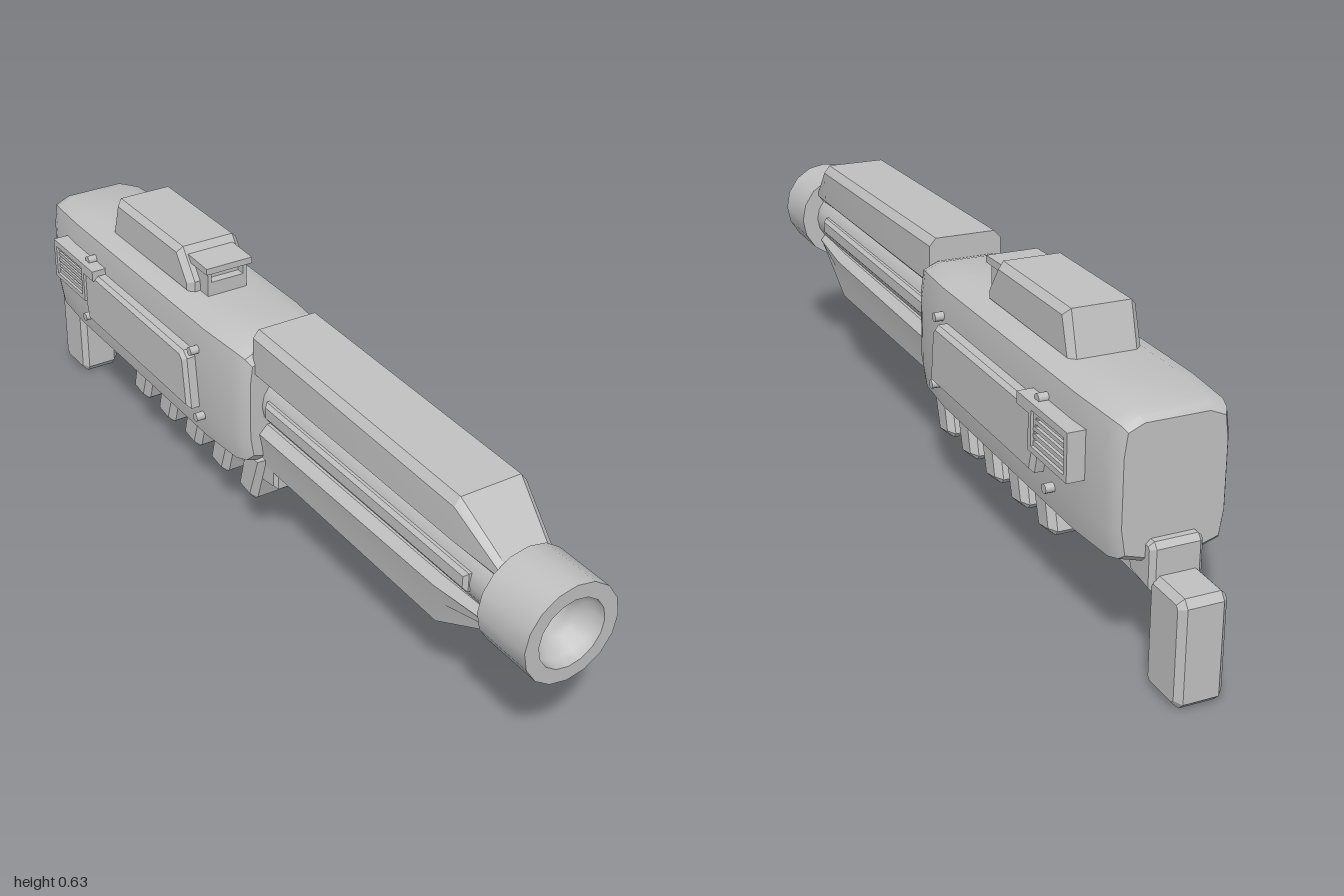
import * as THREE from 'three';
import { toCreasedNormals, mergeVertices } from 'three/addons/utils/BufferGeometryUtils.js';

const metal = new THREE.MeshStandardMaterial({ color: 0xc0c0c0 });
metal.name = 'greyMetal';

function add(parent, name, geometry, x = 0, y = 0, z = 0) {
  const mesh = new THREE.Mesh(geometry, metal);
  mesh.name = name;
  mesh.position.set(x, y, z);
  parent.add(mesh);
  return mesh;
}

// Shape from [z, y] points
const outline = pts => new THREE.Shape(pts.map(p => new THREE.Vector2(p[0], p[1])));

// Side profile given as [z, y], extruded across x about x = 0
function prism(shape, width, bevel = 0) {
  const g = new THREE.ExtrudeGeometry(shape, {
    depth: width - 2 * bevel, bevelEnabled: bevel > 0, bevelThickness: bevel,
    bevelSize: bevel, bevelOffset: -bevel, bevelSegments: 1,
  });
  g.translate(0, 0, -(width - 2 * bevel) / 2);
  g.rotateY(-Math.PI / 2);
  return g;
}

const rect = (z0, z1, y0, y1) => outline([[z0, y0], [z1, y0], [z1, y1], [z0, y1]]);

// Loft of mirrored half sections [x, y] (bottom to top), ordered from front to back
function loft(sections, crease) {
  const pos = [], idx = [];
  const n = sections[0].half.length * 2;
  for (const { z, half } of sections) {
    for (const [x, y] of half) pos.push(x, y, z);
    for (const [x, y] of [...half].reverse()) pos.push(-x, y, z);
  }
  for (let i = 0; i < sections.length - 1; i++) {
    for (let j = 0; j < n; j++) {
      const a = i * n + j, b = i * n + (j + 1) % n;
      idx.push(a, a + n, b, b, a + n, b + n);
    }
  }
  const last = (sections.length - 1) * n;
  for (let j = 1; j < n - 1; j++) {
    idx.push(0, j, j + 1, last, last + j + 1, last + j);
  }
  const g = new THREE.BufferGeometry();
  g.setAttribute('position', new THREE.Float32BufferAttribute(pos, 3));
  g.setIndex(idx);
  return toCreasedNormals(g, crease);
}

export function createModel() {
  const model = new THREE.Group();
  model.name = 'blaster';
  const axisY = 0.394;

  // Main housing with crowned sides and rounded ends
  const bodyHalf = [[0.065, 0.235], [0.118, 0.25], [0.128, 0.31], [0.128, 0.47], [0.12, 0.525], [0.08, 0.541]];
  const stations = [
    [0.058, 0.76, 0.82], [0.045, 0.85, 0.93], [0.015, 0.92, 0.985], [-0.1, 0.99, 1],
    [-0.72, 1, 1], [-0.84, 0.94, 0.98], [-0.865, 0.88, 0.94], [-0.876, 0.82, 0.87],
  ];
  add(model, 'body', loft(stations.map(([z, sx, sy]) => ({
    z, half: bodyHalf.map(([x, y]) => [x * sx, 0.388 + (y - 0.388) * sy]),
  })), 0.6));

  // Barrel core and its raised side bars
  const core = new THREE.CylinderGeometry(0.068, 0.068, 0.86, 16);
  core.rotateX(Math.PI / 2);
  add(model, 'barrelCore', core, 0, axisY, 0.45);
  add(model, 'barrelSideBar', prism(rect(0.08, 0.79, 0.376, 0.418), 0.156, 0.008));

  // Upper and lower barrel shrouds, tapered at the front
  add(model, 'upperShroud', loft([
    { z: 0.87, half: [[0.05, 0.44], [0.062, 0.455], [0.062, 0.464], [0.05, 0.475]] },
    { z: 0.75, half: [[0.06, 0.452], [0.084, 0.475], [0.084, 0.55], [0.07, 0.568]] },
    { z: 0.05, half: [[0.06, 0.455], [0.085, 0.48], [0.085, 0.565], [0.07, 0.582]] },
  ], 0.2));
  add(model, 'lowerShroud', loft([
    { z: 0.86, half: [[0.05, 0.32], [0.058, 0.33], [0.062, 0.337], [0.05, 0.35]] },
    { z: 0.69, half: [[0.062, 0.236], [0.068, 0.29], [0.075, 0.33], [0.055, 0.348]] },
    { z: 0.05, half: [[0.063, 0.242], [0.068, 0.29], [0.075, 0.325], [0.055, 0.345]] },
  ], 0.2));

  // Muzzle ring with a stepped, domed bore
  const muzzle = new THREE.LatheGeometry([
    [0, 0.865], [0.108, 0.865], [0.108, 1], [0.076, 1], [0.073, 0.975], [0.063, 0.965], [0.053, 0.95],
    [0.05, 0.935], [0.054, 0.915], [0.052, 0.9], [0.04, 0.882], [0.02, 0.873], [0, 0.87],
  ].map(p => new THREE.Vector2(p[0], p[1])), 16);
  muzzle.rotateX(Math.PI / 2);
  muzzle.deleteAttribute('normal');
  muzzle.deleteAttribute('uv');
  add(model, 'muzzle', toCreasedNormals(mergeVertices(muzzle), 0.75), 0, axisY, 0);

  // Top sight housing
  add(model, 'sightHousing', prism(outline([
    [-0.615, 0.53], [-0.235, 0.53], [-0.235, 0.565], [-0.285, 0.633], [-0.585, 0.633],
  ]), 0.155, 0.014));

  // Hooded front lens box
  const sight = new THREE.Group();
  sight.name = 'sightHood';
  model.add(sight);
  add(sight, 'hoodRoof', prism(outline([[-0.3, 0.6], [-0.19, 0.6], [-0.19, 0.615], [-0.3, 0.618]]), 0.116));
  add(sight, 'hoodBack', prism(rect(-0.3, -0.222, 0.53, 0.602), 0.1));
  add(sight, 'hoodSill', prism(rect(-0.23, -0.2, 0.53, 0.574), 0.1));
  for (const s of [1, -1]) add(sight, 'hoodCheek', new THREE.BoxGeometry(0.009, 0.034, 0.03), s * 0.0455, 0.585, -0.215);

  // Side panels, screws and vents, mirrored
  const ventFrame = outline([
    [-0.56, 0.475], [-0.77, 0.475], [-0.77, 0.375], [-0.61, 0.375], [-0.61, 0.45], [-0.56, 0.45],
  ]);
  ventFrame.holes.push(new THREE.Path([[-0.622, 0.387], [-0.757, 0.387], [-0.757, 0.46], [-0.622, 0.46]]
    .map(p => new THREE.Vector2(p[0], p[1]))));
  for (const s of [1, -1]) {
    const side = new THREE.Group();
    side.name = s > 0 ? 'leftSide' : 'rightSide';
    model.add(side);
    add(side, 'sidePanel', prism(outline([
      [-0.115, 0.323], [-0.61, 0.323], [-0.645, 0.46], [-0.145, 0.46], [-0.13, 0.445],
    ]), 0.04, 0.009), s * 0.136, 0, 0);
    add(side, 'ventFrame', prism(ventFrame, 0.04), s * 0.142, 0, 0);
    for (let i = 0; i < 5; i++) {
      add(side, 'ventSlat', new THREE.BoxGeometry(0.035, 0.009, 0.14), s * 0.139, 0.393 + i * 0.0153, -0.69);
    }
    for (const [z, y] of [[-0.12, 0.468], [-0.1, 0.308], [-0.65, 0.308], [-0.615, 0.478]]) {
      const screw = new THREE.CylinderGeometry(0.01, 0.01, 0.04, 10);
      screw.rotateZ(Math.PI / 2);
      add(side, 'screw', screw, s * 0.127, y, z);
    }
  }

  // Underside rail and slanted ribs
  add(model, 'lowerRail', prism(outline([
    [0.105, 0.26], [0.105, 0.2], [0.06, 0.192], [-0.56, 0.2], [-0.73, 0.215], [-0.73, 0.26],
  ]), 0.126, 0.008));
  for (let i = 0; i < 5; i++) {
    add(model, 'lowerRib', prism(outline([
      [0.068, 0.26], [0.03, 0.138], [0.02, 0.13], [-0.03, 0.138], [-0.04, 0.15], [-0.01, 0.26],
    ]), 0.154, 0.014), 0, 0, -i * 0.127);
  }

  // Rear bracket, lug and grip
  add(model, 'rearBracket', prism(outline([
    [-0.66, 0.26], [-0.68, 0.195], [-0.89, 0.19], [-0.89, 0.26],
  ]), 0.1, 0.008));
  add(model, 'rearLug', prism(outline([
    [-0.78, 0.29], [-0.82, 0.2], [-0.9, 0.19], [-0.9, 0.28], [-0.89, 0.292],
  ]), 0.11, 0.01));
  add(model, 'grip', prism(outline([
    [-0.882, 0.21], [-0.882, 0.015], [-0.893, 0], [-0.985, 0], [-1, 0.015], [-1, 0.21], [-0.988, 0.226], [-0.893, 0.226],
  ]), 0.1, 0.013));

  return model;
}
